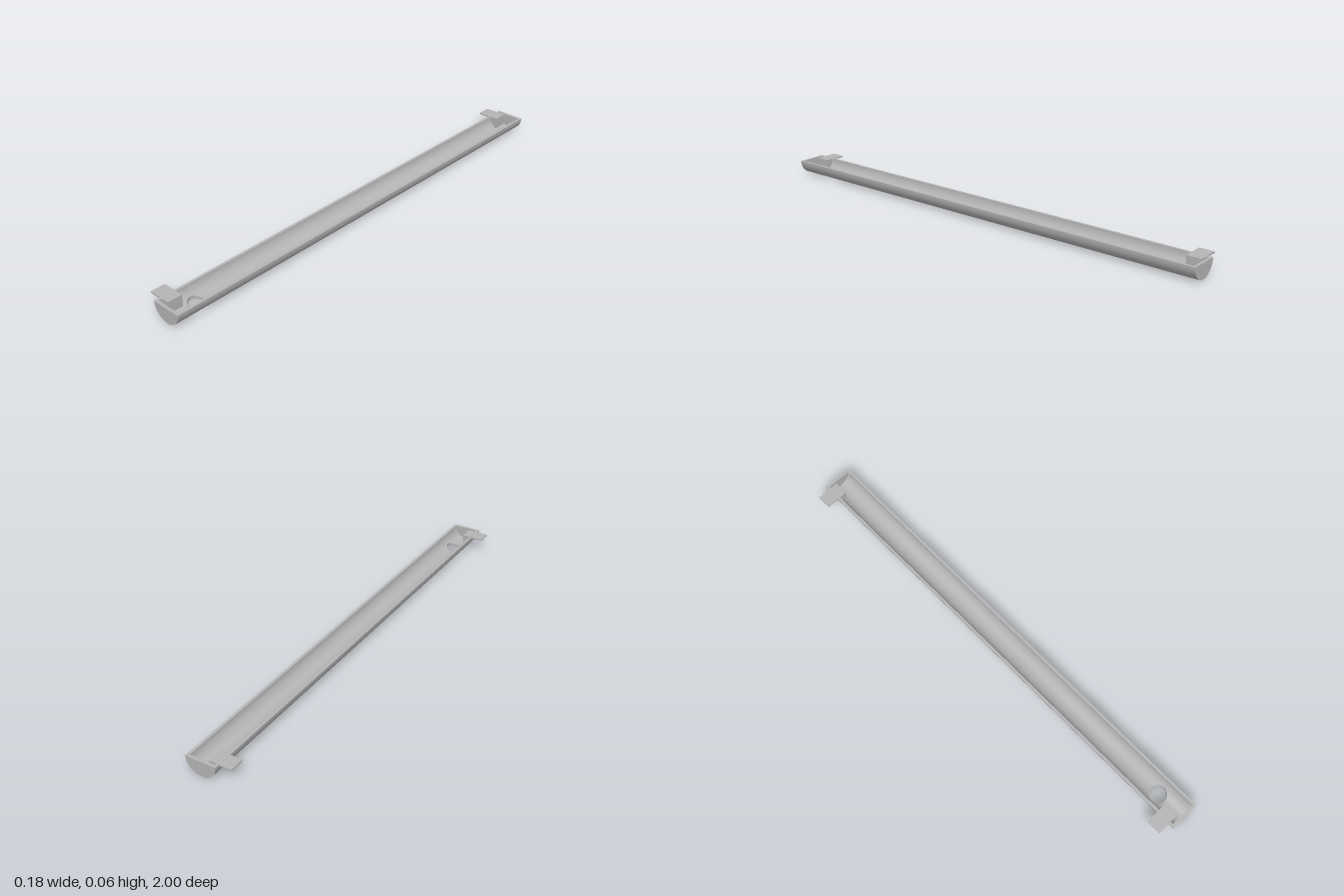
import * as THREE from 'three';
import { mergeVertices } from 'three/addons/utils/BufferGeometryUtils.js';

const CX = 0.025, CY = 0.063;      // axis of the half-round trough
const R = 0.063, RI = 0.052;       // outer and inner radius
const END = 1, CAP = 0.012;        // half length, end wall thickness
const HOLE_Z = 0.87, HOLE_R = 0.035;

// Smooth surface from a list of four-cornered faces
function surface(quads) {
  const pos = [];
  for (const [a, b, c, d] of quads) for (const p of [a, b, c, a, c, d]) pos.push(...p);
  let geo = new THREE.BufferGeometry();
  geo.setAttribute('position', new THREE.Float32BufferAttribute(pos, 3));
  geo = mergeVertices(geo, 1e-5);
  geo.computeVertexNormals();
  return geo;
}

// Angles across the half round, with columns lined up on the drain hole
function columns(radius) {
  const edge = Math.asin(HOLE_R / radius), side = 10, mid = 20, list = [];
  for (let i = 0; i < side; i++) list.push(-Math.PI / 2 + (Math.PI / 2 - edge) * i / side);
  for (let i = 0; i <= mid; i++) list.push(Math.asin(-HOLE_R * Math.cos(Math.PI * i / mid) / radius));
  for (let i = 1; i <= side; i++) list.push(edge + (Math.PI / 2 - edge) * i / side);
  return list.map((a) => {
    const x = radius * Math.sin(a);
    const h = Math.sqrt(Math.max(0, HOLE_R * HOLE_R - x * x));
    return { x: CX + x, y: CY - radius * Math.cos(a), h: h < 1e-5 ? 0 : h };
  });
}

export function createModel() {
  const group = new THREE.Group();
  const grey = new THREE.MeshStandardMaterial({ color: 0xb4b4b4, side: THREE.DoubleSide });
  grey.name = 'grey';
  const add = (name, geo, parent = group) => {
    const mesh = new THREE.Mesh(geo, grey);
    mesh.name = name;
    parent.add(mesh);
    return mesh;
  };

  // Trough shell: lengthwise strips that stop at the drain hole
  const outer = columns(R), inner = columns(RI);
  const L = END - CAP;
  const at = (c, z) => [c.x, c.y, z];
  const outside = [], inside = [], holeWall = [];
  for (let k = 0; k < outer.length - 1; k++) {
    const o = outer[k], p = outer[k + 1], i = inner[k], j = inner[k + 1];
    for (const s of [-1, 1]) {
      const cut = (c) => at(c, HOLE_Z + s * c.h), tip = (c) => at(c, s * L);
      const out = [tip(o), tip(p), cut(p), cut(o)];
      const inn = [tip(j), tip(i), cut(i), cut(j)];
      outside.push(s < 0 ? out : out.reverse());
      inside.push(s < 0 ? inn : inn.reverse());
      if (o.h + p.h > 0) {
        const wall = [cut(o), cut(p), cut(j), cut(i)];
        holeWall.push(s < 0 ? wall : wall.reverse());
      }
    }
  }
  add('troughOutside', surface(outside));
  add('troughInside', surface(inside));
  add('drainHoleWall', surface(holeWall));

  // Flat rims along both long edges
  const n = outer.length - 1;
  for (const [name, a, b] of [['rightRim', outer[0], inner[0]], ['leftRim', inner[n], outer[n]]]) {
    add(name, surface([[at(a, -L), at(a, L), at(b, L), at(b, -L)]]));
  }

  // Half-disc end walls
  const disc = new THREE.Shape();
  disc.absarc(CX, CY, R, Math.PI, Math.PI * 2, false);
  disc.closePath();
  for (const [name, z] of [['frontEndWall', L], ['backEndWall', -END]]) {
    add(name, new THREE.ExtrudeGeometry(disc, { depth: CAP, bevelEnabled: false, curveSegments: 32 }))
      .position.z = z;
  }

  // Mounting brackets: a flat tab over the rim and a block seated in the trough
  const tabW = 0.06, edgeX = 0.005, seat = RI + 0.004;
  const block = new THREE.Shape();
  block.moveTo(edgeX, CY - 0.001);
  block.lineTo(CX - seat, CY - 0.001);
  block.absarc(CX, CY, seat, Math.PI, Math.PI * 1.5 - Math.asin((CX - edgeX) / seat), false);
  block.closePath();
  for (const [name, z] of [['frontBracket', 0.945], ['backBracket', -0.95]]) {
    const bracket = new THREE.Group();
    bracket.name = name;
    bracket.position.z = z;
    const tab = add('tab', new THREE.BoxGeometry(0.094, 0.006, tabW), bracket);
    tab.position.set(edgeX - 0.047, CY - 0.0025, 0);
    add('block', new THREE.ExtrudeGeometry(block, { depth: tabW, bevelEnabled: false, curveSegments: 12 }), bracket)
      .position.z = -tabW / 2;
    group.add(bracket);
  }
  return group;
}
